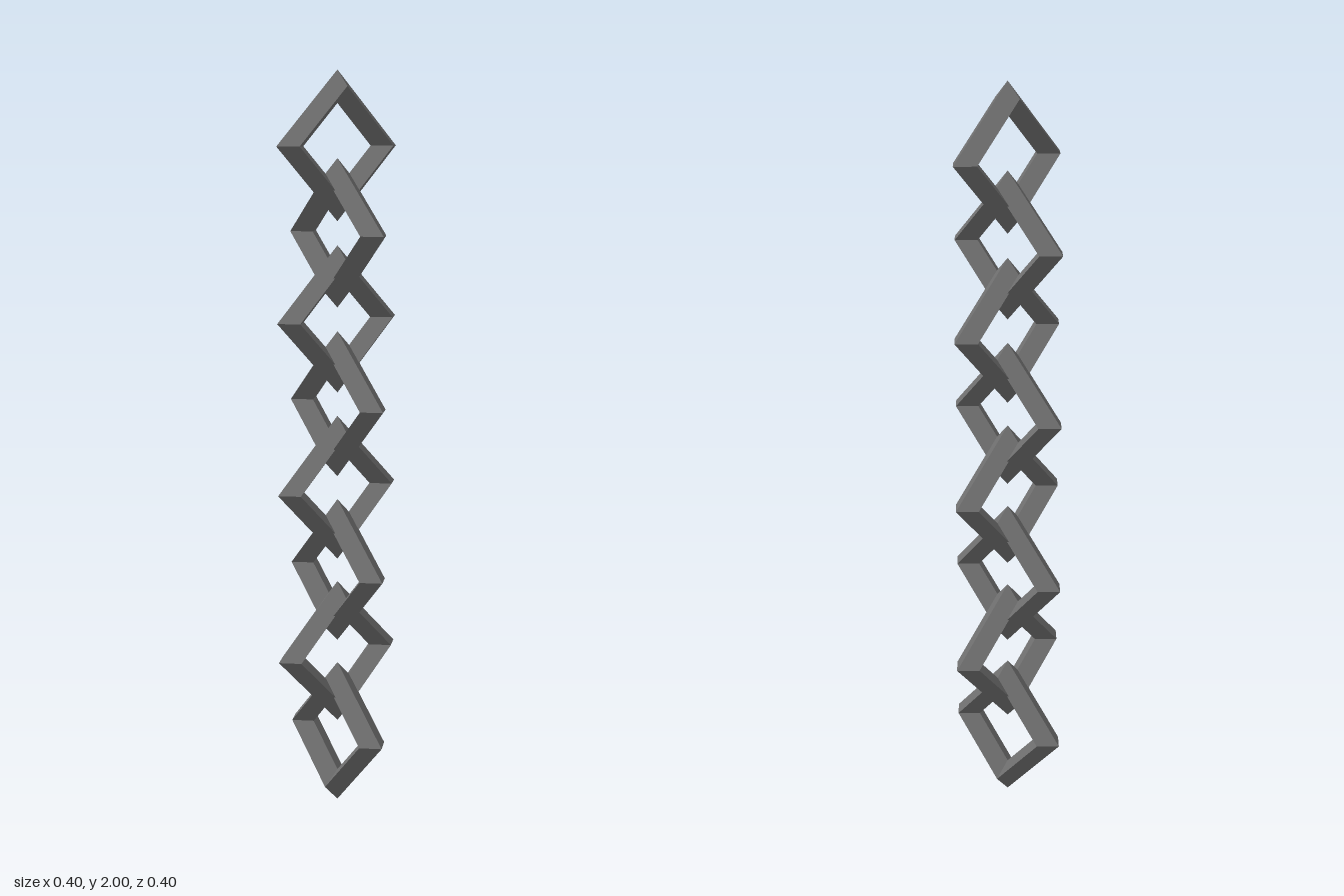
import * as THREE from 'three';

const LINKS = 8;
const RING = 0.1543;    // centre of a link to the middle of its bar
const BAR = 0.0432;     // half thickness of the square bar
const OUTER = RING + BAR;
const STEP = (2 - 2 * OUTER) / (LINKS - 1);

export function createModel() {
  const chain = new THREE.Group();
  chain.name = 'chain';
  const material = new THREE.MeshStandardMaterial({ color: 0x6e6e6e, flatShading: true });

  // Diamond-shaped link: a four-sided ring with a four-sided bar, points up and sideways
  const linkGeometry = new THREE.TorusGeometry(RING, BAR, 4, 4);

  // Stack of interlocking links, each a quarter turn from the one below
  for (let i = 0; i < LINKS; i++) {
    const link = new THREE.Mesh(linkGeometry, material);
    link.name = `link${i + 1}`;
    link.position.y = OUTER + i * STEP;
    link.rotation.y = i % 2 === 0 ? Math.PI / 2 : 0;
    chain.add(link);
  }
  return chain;
}
